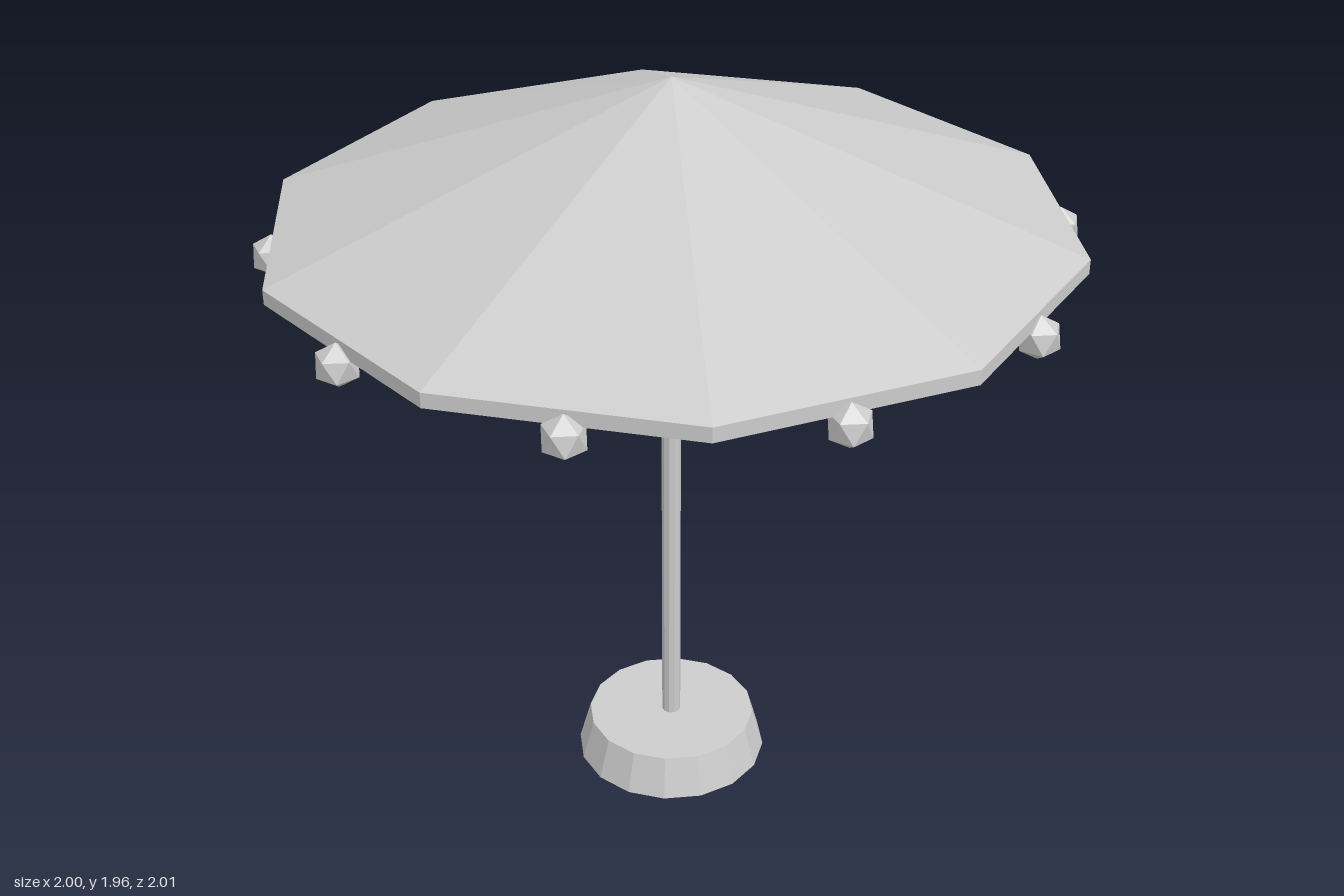
import * as THREE from 'three';

const SIDES = 10;
const grey = new THREE.MeshStandardMaterial({ color: 0xcccccc });
grey.name = 'light grey';

// Faceted mesh with one normal per face
function flatMesh(name, geometry) {
  const g = geometry.index ? geometry.toNonIndexed() : geometry;
  g.computeVertexNormals();
  const mesh = new THREE.Mesh(g, grey);
  mesh.name = name;
  return mesh;
}

// Thin round bar between two points
function bar(name, a, b, radius, sides) {
  const dir = b.clone().sub(a);
  const mesh = flatMesh(name, new THREE.CylinderGeometry(radius, radius, dir.length(), sides));
  mesh.position.copy(a).add(b).multiplyScalar(0.5);
  mesh.quaternion.setFromUnitVectors(new THREE.Vector3(0, 1, 0), dir.normalize());
  return mesh;
}

export function createModel() {
  const model = new THREE.Group();
  model.name = 'parasol';

  // Weighted foot
  const base = flatMesh('base', new THREE.CylinderGeometry(0.225, 0.256, 0.112, 16));
  base.position.y = 0.056;
  model.add(base);

  // Pole, ending just short of the ribs
  model.add(bar('pole', new THREE.Vector3(0, 0.1, 0), new THREE.Vector3(0, 1.78, 0), 0.025, 10));

  // Ten-sided canopy shell with a short vertical rim
  const profile = [[0, 1.925], [1, 1.565], [1, 1.602], [0, 1.962]].map(([r, y]) => new THREE.Vector2(r, y));
  model.add(flatMesh('canopy', new THREE.LatheGeometry(profile, SIDES, Math.PI / 2)));

  // A rib under each corner, a bobble under the middle of each edge
  const ribs = new THREE.Group();
  ribs.name = 'ribs';
  const bobbles = new THREE.Group();
  bobbles.name = 'bobbles';
  const tilt = -Math.atan(2 / (1 + Math.sqrt(5))); // stands the bobble on a vertex
  for (let i = 0; i < SIDES; i++) {
    const a = (i / SIDES) * Math.PI * 2;
    const end = new THREE.Vector3(0.945 * Math.cos(a), 1.56, 0.945 * Math.sin(a));
    ribs.add(bar('rib', new THREE.Vector3(0, 1.905, 0), end, 0.013, 6));

    const m = a + Math.PI / SIDES;
    const bobble = flatMesh('bobble', new THREE.IcosahedronGeometry(0.055, 0).rotateZ(tilt));
    bobble.position.set(0.957 * Math.cos(m), 1.541, 0.957 * Math.sin(m));
    bobbles.add(bobble);
  }
  model.add(ribs, bobbles);
  return model;
}
